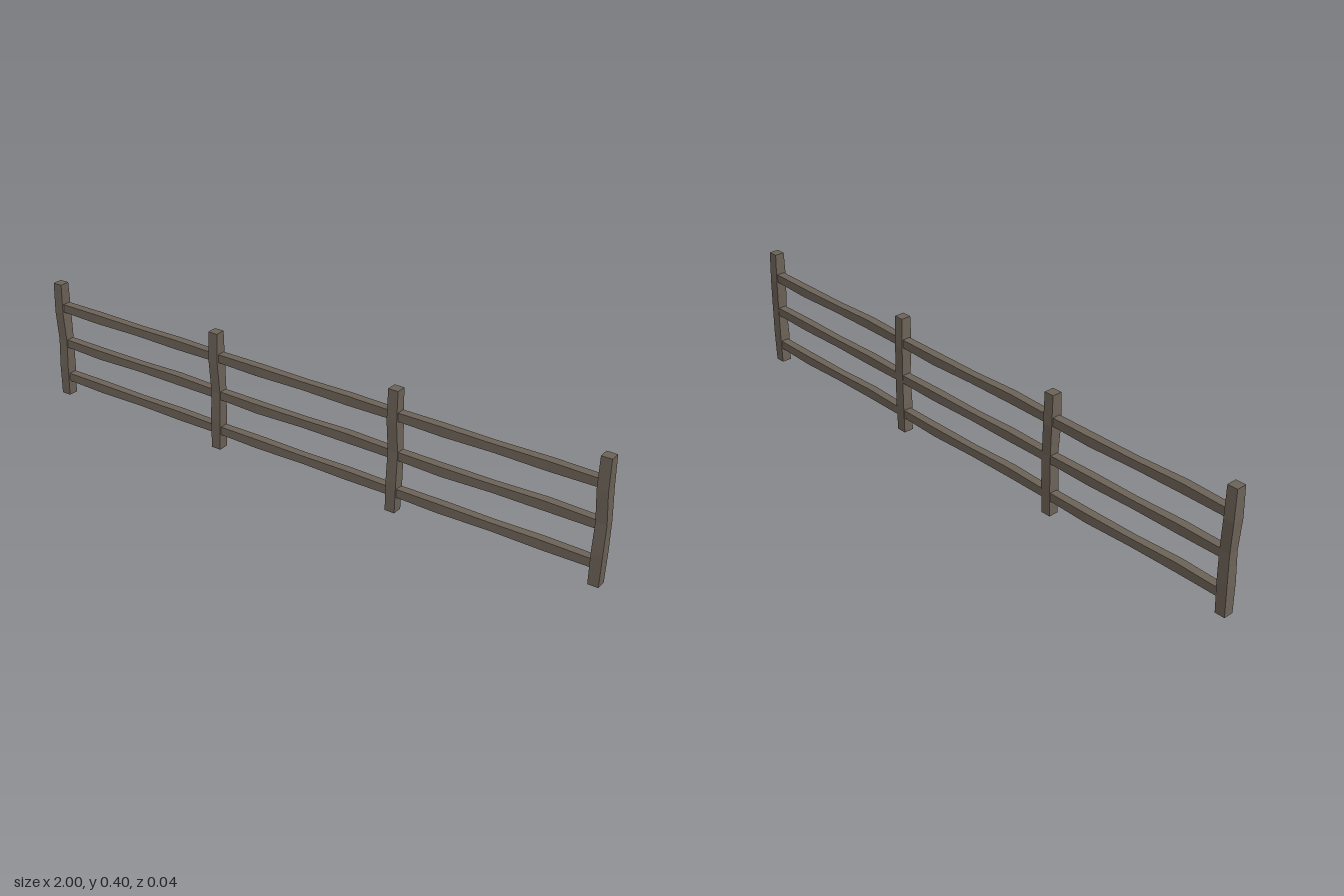
import * as THREE from 'three';

// Square beam along +y from y = 0; each station is [width, depth, shiftX, shiftZ]
function beamGeometry(length, stations) {
  const n = stations.length - 1;
  const geo = new THREE.BoxGeometry(1, length, 1, 1, n, 1).translate(0, length / 2, 0);
  const pos = geo.attributes.position;
  for (let i = 0; i < pos.count; i++) {
    const [w, d, sx, sz] = stations[Math.round(pos.getY(i) / length * n)];
    pos.setX(i, pos.getX(i) * w + sx);
    pos.setZ(i, pos.getZ(i) * d + sz);
  }
  const flat = geo.toNonIndexed();
  flat.computeVertexNormals();
  return flat;
}

export function createModel() {
  const group = new THREE.Group();
  const wood = new THREE.MeshStandardMaterial({ color: 0x6e6459, flatShading: true });
  wood.name = 'weathered wood';

  const postX = [-0.981, -0.331, 0.321, 0.977];

  // Uneven upright posts
  const postGeo = beamGeometry(0.4, [
    [0.033, 0.033, 0, 0.001],
    [0.035, 0.036, 0.002, 0.001],
    [0.034, 0.032, 0.004, 0],
    [0.034, 0.038, -0.001, 0],
    [0.033, 0.033, 0, 0.001],
  ]);
  postX.forEach((x, i) => {
    const post = new THREE.Mesh(postGeo, wood);
    post.name = `post${i + 1}`;
    post.position.x = x;
    group.add(post);
  });

  // Hand-hewn rails, one set of three per bay
  const span = 0.653;
  const railGeos = [-1, 1, -1].map((s) => beamGeometry(span, [
    [0.027, 0.027, 0, -0.001],
    [0.031, 0.028, 0.001 * s, 0.002],
    [0.027, 0.026, 0, -0.001],
    [0.031, 0.028, -0.001 * s, -0.003],
    [0.027, 0.027, 0, -0.001],
  ]).rotateZ(-Math.PI / 2));
  const railNames = ['lowerRail', 'middleRail', 'upperRail'];
  for (let bay = 0; bay < 3; bay++) {
    [0.066, 0.19, 0.316].forEach((y, r) => {
      const rail = new THREE.Mesh(railGeos[r], wood);
      rail.name = railNames[r] + (bay + 1);
      rail.position.set(postX[bay], y, 0);
      group.add(rail);
    });
  }
  return group;
}
